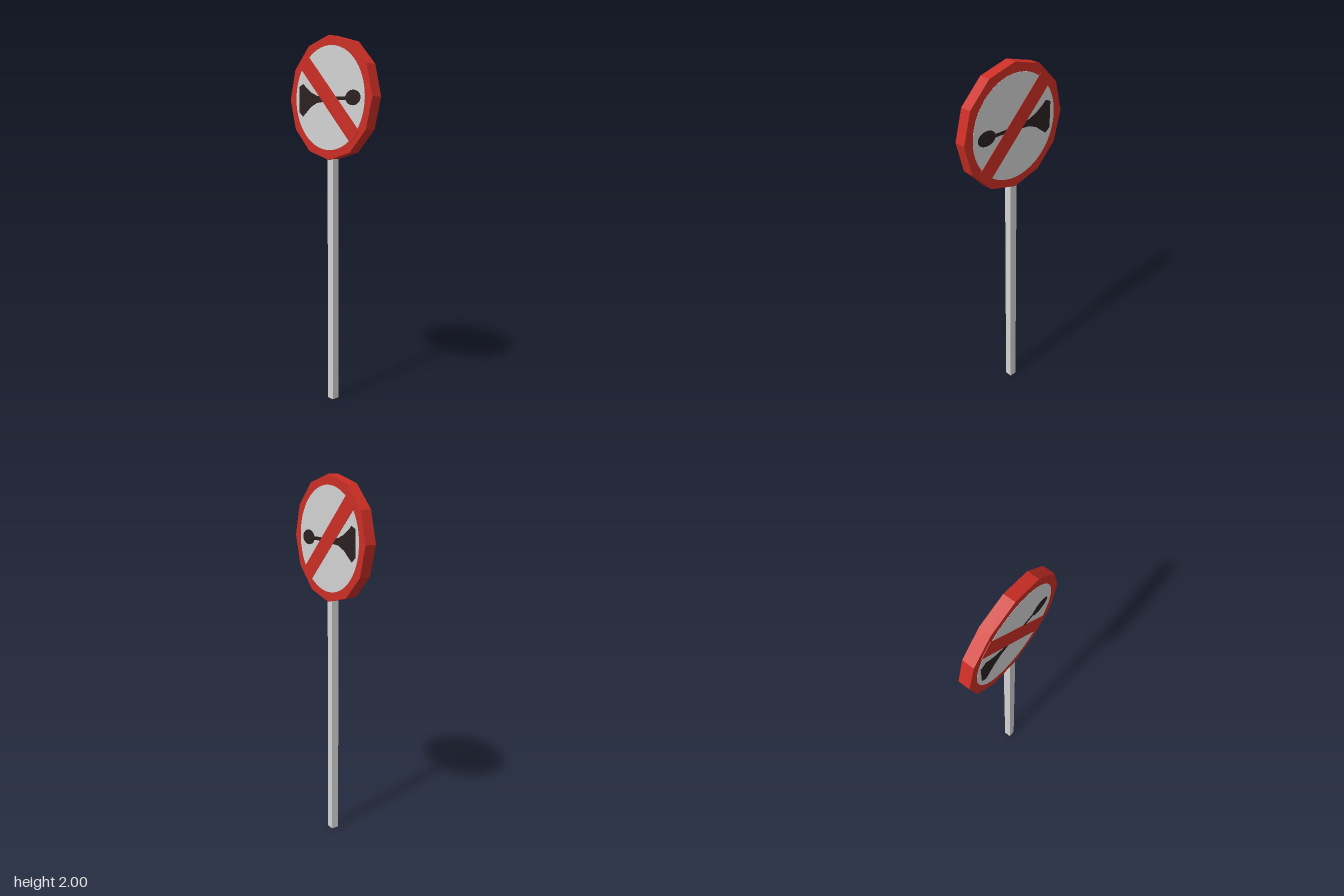
import * as THREE from 'three';

const RADIUS = 0.326;
const CENTRE_Y = 2 - RADIUS;
const HALF_DEPTH = 0.031;
const PLATE = 0.001;

export function createModel() {
  const model = new THREE.Group();
  model.name = 'roadSign';

  const red = new THREE.MeshStandardMaterial({ color: 0xcc2e25 });
  const grey = new THREE.MeshStandardMaterial({ color: 0xd3d3d3 });
  const black = new THREE.MeshStandardMaterial({ color: 0x2b2121 });
  red.name = 'signal red';
  grey.name = 'light grey';
  black.name = 'near black';

  function add(parent, name, geometry, material) {
    const mesh = new THREE.Mesh(geometry, material);
    mesh.name = name;
    parent.add(mesh);
    return mesh;
  }

  // Square post
  const postHeight = CENTRE_Y - RADIUS + 0.01;
  add(model, 'post', new THREE.BoxGeometry(0.042, postHeight, 0.042), grey)
    .position.y = postHeight / 2;

  const head = new THREE.Group();
  head.name = 'signHead';
  head.position.y = CENTRE_Y;
  model.add(head);

  // Twelve-sided plate with flat rim facets
  const disc = new THREE.CylinderGeometry(RADIUS, RADIUS, HALF_DEPTH * 2, 12)
    .rotateX(Math.PI / 2).toNonIndexed();
  disc.computeVertexNormals();
  add(head, 'rimPlate', disc, red);

  // Painted shapes, relative to the middle of the sign
  const face = new THREE.Shape().absarc(0, 0, 0.273, 0, Math.PI * 2);

  const bell = new THREE.Shape([
    [-0.244, 0.07], [-0.21, 0.084], [-0.185, 0.062], [-0.145, 0.036],
    [-0.095, 0.016], [-0.04, 0.006], [-0.04, -0.018], [-0.095, -0.022],
    [-0.145, -0.042], [-0.185, -0.072], [-0.215, -0.094], [-0.244, -0.07],
  ].map(([x, y]) => new THREE.Vector2(x, y)));

  const stem = new THREE.Shape([
    [-0.05, 0.006], [0.14, 0.006], [0.14, -0.012], [-0.05, -0.014],
  ].map(([x, y]) => new THREE.Vector2(x, y)));

  const bulb = new THREE.Shape().absellipse(0.187, -0.002, 0.056, 0.039, 0, Math.PI * 2);

  const bar = new THREE.Shape([
    [-0.285, 0.045], [-0.285, -0.045], [0.285, -0.045], [0.285, 0.045],
  ].map(([x, y]) => new THREE.Vector2(x, y)
    .rotateAround(new THREE.Vector2(), -Math.PI / 4)));

  // Layered thin plates, repeated on the front and the back
  const layers = [
    ['facePanel', face, grey, 0],
    ['hornBell', bell, black, 1],
    ['hornStem', stem, black, 1],
    ['hornBulb', bulb, black, 1],
    ['diagonalBar', bar, red, 2],
  ];
  for (const side of [1, -1]) {
    for (const [name, shape, material, level] of layers) {
      const depth = PLATE * (level + 1);
      const geometry = new THREE.ExtrudeGeometry(shape, {
        depth, bevelEnabled: false, curveSegments: 32,
      }).translate(0, 0, -depth / 2);
      add(head, (side > 0 ? 'front ' : 'back ') + name, geometry, material)
        .position.z = side * (HALF_DEPTH + depth / 2);
    }
  }

  return model;
}
